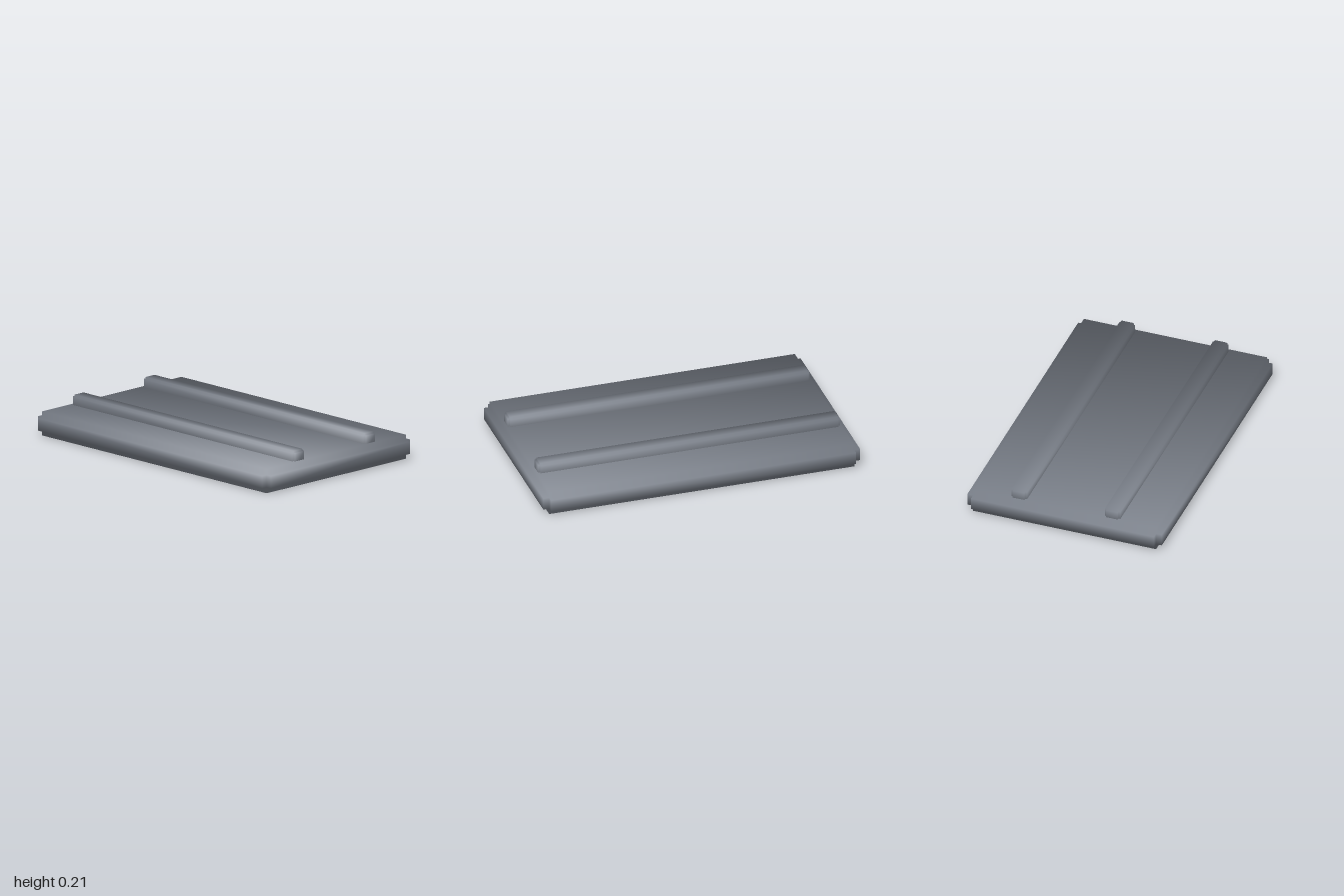
import * as THREE from 'three';

const material = new THREE.MeshStandardMaterial({ color: 0x7f858f });

// Box with a square step cut along every edge: a core with one raised plate per
// side. Corners share softened diagonal normals.
function steppedBox(outer, step) {
  const core = outer.map((h) => h - step);
  const positions = [], normals = [], index = [];

  const addVertex = (signs, raisedAxis) => {
    signs.forEach((s, k) => {
      positions.push(s * (k === raisedAxis ? outer[k] : core[k]));
      normals.push(s / Math.sqrt(3));
    });
    return positions.length / 3 - 1;
  };
  const quad = (a, b, c, d) => index.push(a, b, c, a, c, d);

  for (let axis = 0; axis < 3; axis++) {
    for (const side of [1, -1]) {
      const ring = [[-1, -1], [1, -1], [1, 1], [-1, 1]];
      if (side < 0) ring.reverse();
      const signs = ring.map(([u, v]) => {
        const s = [0, 0, 0];
        s[axis] = side;
        s[(axis + 1) % 3] = u;
        s[(axis + 2) % 3] = v;
        return s;
      });
      const top = signs.map((s) => addVertex(s, axis));
      const base = signs.map((s) => addVertex(s, -1));
      quad(...top);
      for (let i = 0; i < 4; i++) {
        const j = (i + 1) % 4;
        quad(base[i], base[j], top[j], top[i]);
      }
    }
  }

  const geometry = new THREE.BufferGeometry();
  geometry.setAttribute('position', new THREE.Float32BufferAttribute(positions, 3));
  geometry.setAttribute('normal', new THREE.Float32BufferAttribute(normals, 3));
  geometry.setIndex(index);
  return geometry;
}

export function createModel() {
  const model = new THREE.Group();
  model.name = 'railedPlate';

  // Main slab
  const slab = new THREE.Mesh(steppedBox([0.623, 0.075, 1], 0.037), material);
  slab.name = 'slab';
  slab.position.y = 0.075;
  model.add(slab);

  // Two long rails, half sunk into the slab
  const railGeometry = steppedBox([0.05, 0.0625, 0.953], 0.0125);
  for (const side of [1, -1]) {
    const rail = new THREE.Mesh(railGeometry, material);
    rail.name = side > 0 ? 'leftRail' : 'rightRail';
    rail.position.set(side * 0.299, 0.15, 0);
    model.add(rail);
  }

  return model;
}
